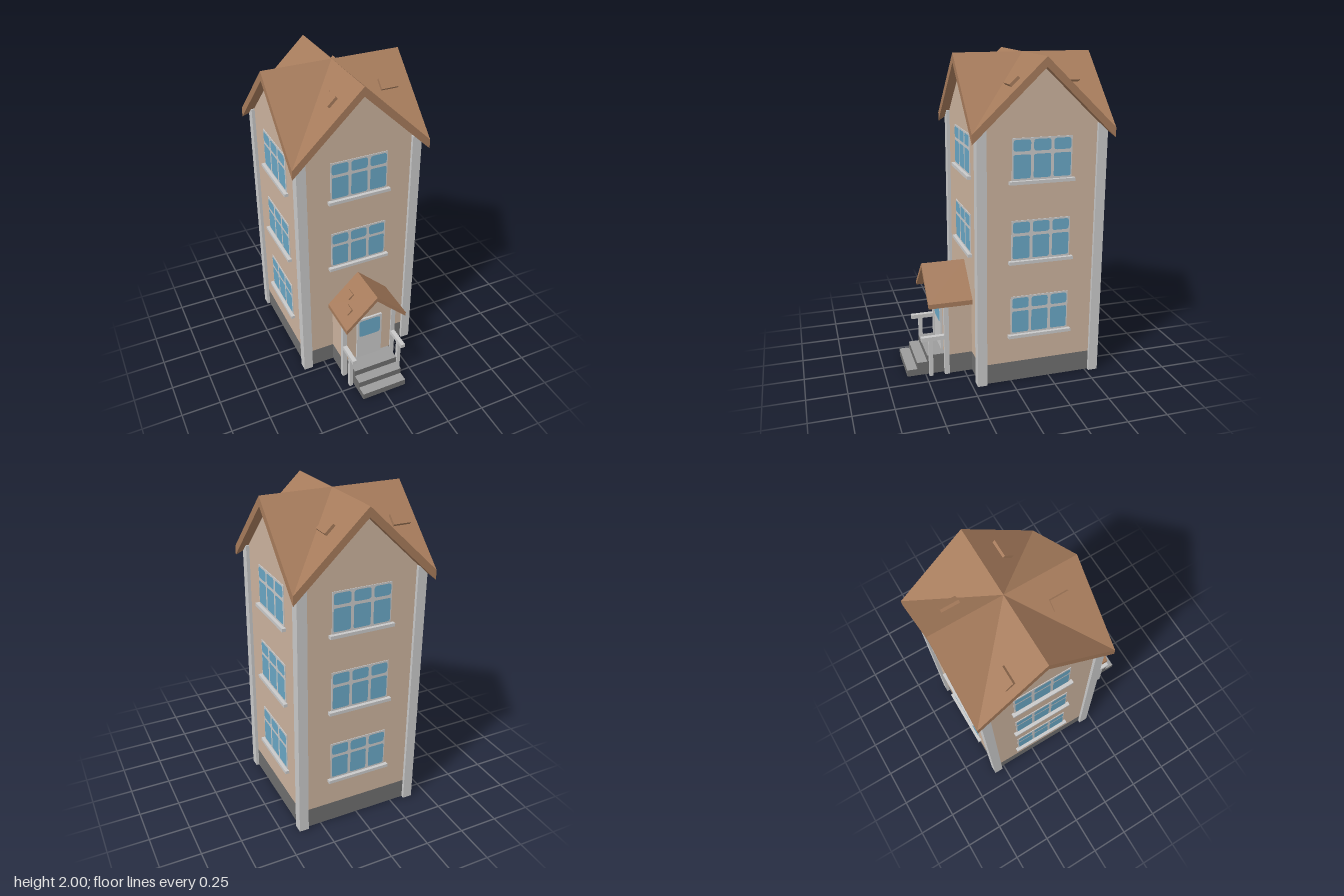
import * as THREE from 'three';

const mat = (name, color, side = THREE.FrontSide) => {
  const m = new THREE.MeshStandardMaterial({ color, side });
  m.name = name;
  return m;
};

export function createModel() {
  const wall = mat('beige plaster', 0xcbb29d, THREE.DoubleSide);
  const trim = mat('light grey trim', 0xc8c8c8);
  const stone = mat('dark grey stone', 0x6e6e6e, THREE.DoubleSide);
  const tread = mat('mid grey tread', 0x9c9c9c);
  const tile = mat('brown roof', 0xa67b5b);
  const glass = mat('blue glass', 0x69a6c4);

  const model = new THREE.Group();
  model.name = 'house';

  const add = (parent, name, geometry, material) => {
    const mesh = new THREE.Mesh(geometry, material);
    mesh.name = name;
    parent.add(mesh);
    return mesh;
  };
  // Box given by its minimum and maximum on each axis
  const box = (parent, name, material, x0, x1, y0, y1, z0, z1) => {
    const mesh = add(parent, name, new THREE.BoxGeometry(x1 - x0, y1 - y0, z1 - z0), material);
    mesh.position.set((x0 + x1) / 2, (y0 + y1) / 2, (z0 + z1) / 2);
    return mesh;
  };
  const polygon = (points) => new THREE.Shape(points.map(([x, y]) => new THREE.Vector2(x, y)));
  const gable = (w, y0, eave, apex) => new THREE.ShapeGeometry(
    polygon([[-w, y0], [w, y0], [w, eave], [0, apex], [-w, eave]]));
  // Flat pane with rounded corners
  const pane = (parent, x0, x1, y0, y1, z, r) => {
    const s = new THREE.Shape();
    s.moveTo(x0 + r, y0);
    s.lineTo(x1 - r, y0); s.quadraticCurveTo(x1, y0, x1, y0 + r);
    s.lineTo(x1, y1 - r); s.quadraticCurveTo(x1, y1, x1 - r, y1);
    s.lineTo(x0 + r, y1); s.quadraticCurveTo(x0, y1, x0, y1 - r);
    s.lineTo(x0, y0 + r); s.quadraticCurveTo(x0, y0, x0 + r, y0);
    add(parent, 'windowPane', new THREE.ShapeGeometry(s, 4), glass).position.z = z;
  };

  const W = 0.38;         // half width of the walls
  const BASE = 0.13;      // height of the stone base
  const SLOPE = 0.952;    // roof rise per unit run
  const ANGLE = Math.atan(SLOPE);

  // Three-column window with a sill, bottom edge at y
  const addWindow = (parent, y) => {
    const g = new THREE.Group();
    g.name = 'window';
    g.position.set(0, y, W);
    parent.add(g);
    box(g, 'windowFrame', trim, -0.185, 0.185, 0, 0.25, -0.005, 0.004);
    box(g, 'windowSill', trim, -0.203, 0.203, -0.02, 0, -0.01, 0.025);
    for (const x of [-0.124, 0, 0.124]) {
      pane(g, x - 0.053, x + 0.053, 0.012, 0.153, 0.006, 0.012);
      pane(g, x - 0.053, x + 0.053, 0.172, 0.24, 0.006, 0.018);
    }
  };

  // Tower: four identical sides around its own axis
  const tower = new THREE.Group();
  tower.name = 'tower';
  tower.position.z = -0.18;
  model.add(tower);
  for (let i = 0; i < 4; i++) {
    const side = new THREE.Group();
    side.name = 'towerSide';
    side.rotation.y = i * Math.PI / 2;
    tower.add(side);
    add(side, 'gableWall', gable(W, BASE, 1.942 - SLOPE * W, 1.942), wall).position.z = W;
    const base = add(side, 'stoneBase', new THREE.PlaneGeometry(2 * W, BASE), stone);
    base.position.set(0, BASE / 2, W);
    box(side, 'cornerPillar', trim, 0.34, 0.4, 0, 1.61, 0.34, 0.4);
    for (const y of i === 0 ? [0.803, 1.295] : [0.32, 0.803, 1.295]) addWindow(side, y);
    add(side, 'roofArm', roofArm(0.435, 2, SLOPE, 0.058), tile);
  }

  // Small raised hatch lying on a slope; heading turns its downhill side from +z
  const addHatch = (parent, name, heading, along, run, ridge, width, length, t) => {
    const g = new THREE.Group();
    g.name = name;
    g.rotation.y = heading;
    parent.add(g);
    const m = add(g, 'hatchCover', new THREE.BoxGeometry(width, t, length), tile);
    m.position.set(along, ridge - SLOPE * run, run);
    m.rotation.x = ANGLE;
    m.translateY(t / 2);
  };
  const Q = Math.PI / 2;
  addHatch(tower, 'roofHatch', 0, 0.29, 0.154, 2, 0.11, 0.07, 0.018);
  addHatch(tower, 'roofHatch', Q, 0.245, 0.154, 2, 0.11, 0.07, 0.018);
  addHatch(tower, 'roofHatch', 2 * Q, 0.33, 0.189, 2, 0.11, 0.07, 0.018);
  addHatch(tower, 'roofHatch', -Q, 0.26, 0.129, 2, 0.11, 0.07, 0.018);

  // Porch
  const porch = new THREE.Group();
  porch.name = 'porch';
  model.add(porch);
  const PW = 0.18, PZ = 0.37, BACK = 0.2;
  const eave = 0.668 - SLOPE * PW;
  add(porch, 'porchGableWall', gable(PW, BASE, eave, 0.668), wall).position.z = PZ;
  add(porch, 'porchFrontBase', new THREE.PlaneGeometry(2 * PW, BASE), stone)
    .position.set(0, BASE / 2, PZ);
  for (const s of [-1, 1]) {
    const panel = (name, material, y0, y1) => {
      const m = add(porch, name, new THREE.PlaneGeometry(PZ - BACK, y1 - y0), material);
      m.rotation.y = s * Q;
      m.position.set(s * PW, (y0 + y1) / 2, (PZ + BACK) / 2);
    };
    panel('porchSideWall', wall, BASE, eave);
    panel('porchSideBase', stone, 0, BASE);
    const post = (name, c, half, y0, y1, z0, z1) =>
      box(porch, name, trim, s * c - half, s * c + half, y0, y1, z0, z1);
    post('porchPost', 0.175, 0.015, 0, 0.508, 0.35, 0.38);
    post('railPost', 0.174, 0.012, 0, 0.247, 0.455, 0.48);
    post('handRail', 0.174, 0.014, 0.245, 0.272, 0.375, 0.528);
  }

  // Porch roof: chevron section extruded forward
  const r = 0.208, drop = SLOPE * r, t = 0.03;
  const chevron = polygon([[-r, 0.7 - drop - t], [0, 0.7 - t], [r, 0.7 - drop - t],
    [r, 0.7 - drop], [0, 0.7], [-r, 0.7 - drop]]);
  add(porch, 'porchRoof', new THREE.ExtrudeGeometry(chevron,
    { depth: 0.48 - BACK, bevelEnabled: false }), tile).position.z = BACK;
  addHatch(porch, 'porchHatch', -Q, 0.285, 0.097, 0.7, 0.062, 0.044, 0.011);
  addHatch(porch, 'porchHatch', -Q, 0.367, 0.144, 0.7, 0.062, 0.044, 0.011);

  // Door
  box(porch, 'door', trim, -0.088, 0.088, BASE, 0.46, PZ - 0.005, 0.384);
  pane(porch, -0.075, 0.075, 0.313, 0.447, 0.386, 0.022);

  // Steps with lighter treads
  [[0.044, 0.618], [0.087, 0.553], [BASE, 0.487]].forEach(([y, z]) =>
    box(porch, 'step', [stone, stone, tread, stone, stone, stone],
      -0.153, 0.153, y - 0.0435 > 0.01 ? y - 0.043 : 0, y, PZ, z));

  return model;
}

// One quarter of the cross-gabled roof: two slopes, their soffits and the verge
function roofArm(r, ridge, slope, t) {
  const low = ridge - slope * r;
  const C = [0, ridge, 0], R = [0, ridge, r], A = [-r, low, r], B = [r, low, r];
  const under = ([x, y, z]) => [x, y - t, z];
  const tris = [[C, A, R], [C, R, B]];
  for (const [a, b, c] of tris.slice()) tris.push([under(a), under(c), under(b)]);
  for (const [p, q] of [[A, R], [R, B]]) {
    tris.push([under(p), under(q), q], [under(p), q, p]);
  }
  const g = new THREE.BufferGeometry();
  g.setAttribute('position', new THREE.Float32BufferAttribute(tris.flat(2), 3));
  g.computeVertexNormals();
  return g;
}
